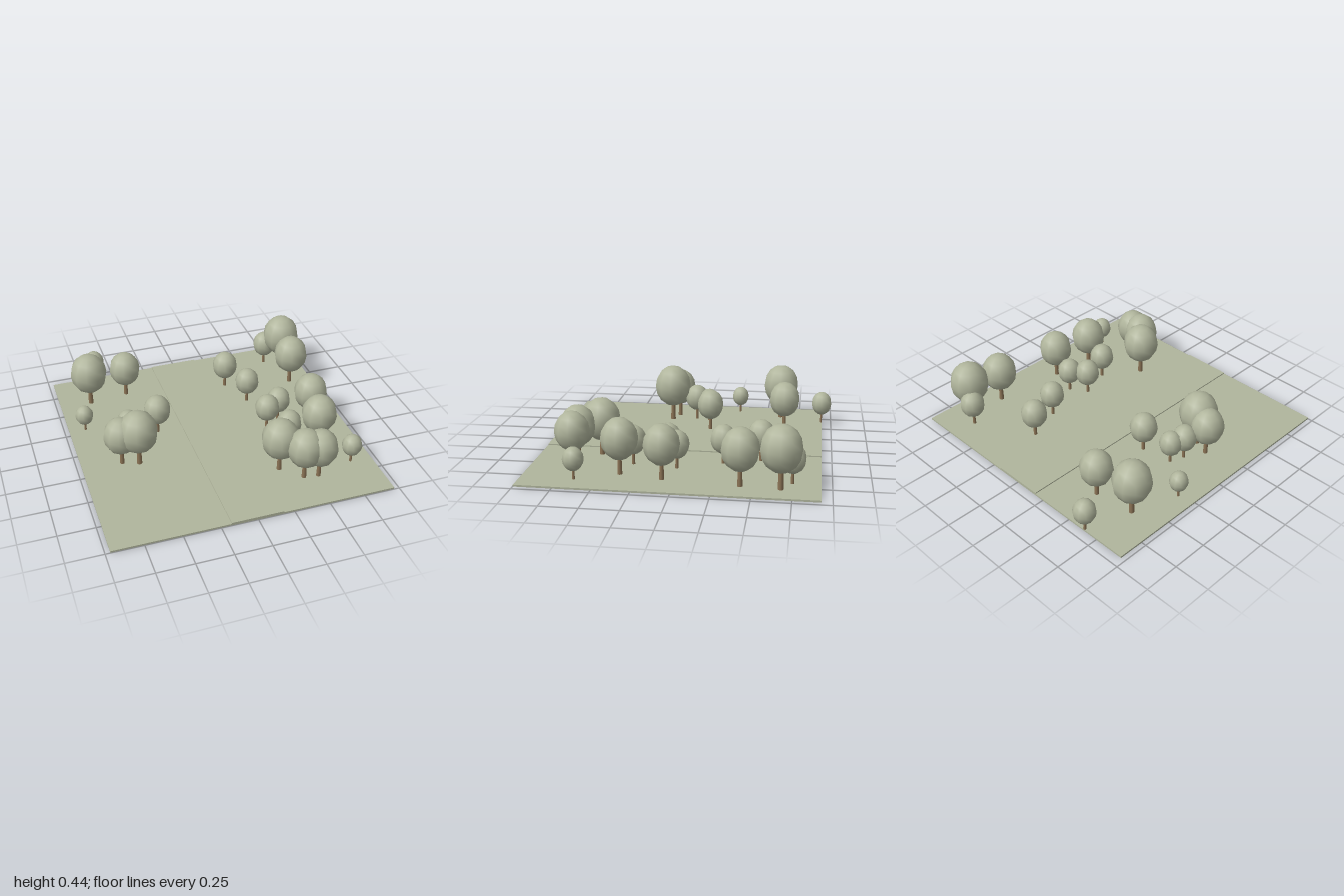
import * as THREE from 'three';

const GROUND_TOP = 0.012;

// x, z and crown radius of every tree
const TREES = [
  [-0.64, -0.923, 0.077], [-0.74, -0.607, 0.133], [-0.46, -0.645, 0.114],
  [-0.85, -0.285, 0.064], [-0.36, -0.1, 0.097], [-0.58, -0.066, 0.08],
  [-0.615, 0.033, 0.086], [-0.69, 0.175, 0.118], [-0.577, 0.215, 0.136],
  [0.7, -0.745, 0.086], [0.81, -0.675, 0.137], [0.79, -0.42, 0.125],
  [0.293, -0.52, 0.093], [0.383, -0.273, 0.088], [0.518, 0.02, 0.085],
  [0.402, 0.096, 0.088], [0.738, 0.085, 0.12], [0.478, 0.32, 0.088],
  [0.68, 0.37, 0.124], [0.31, 0.572, 0.13], [0.437, 0.705, 0.124],
  [0.537, 0.72, 0.119], [0.81, 0.645, 0.07],
];

function material(name, color) {
  const m = new THREE.MeshStandardMaterial({ color });
  m.name = name;
  return m;
}

export function createModel() {
  const group = new THREE.Group();
  group.name = 'parkland';
  const sage = material('sage', 0xb0b59c);
  const bark = material('bark', 0x8b7355);

  const add = (parent, name, geometry, mat, x, y, z) => {
    const mesh = new THREE.Mesh(geometry, mat);
    mesh.name = name;
    mesh.position.set(x, y, z);
    parent.add(mesh);
    return mesh;
  };

  // Square ground slab with a slightly raised road along z
  add(group, 'ground', new THREE.BoxGeometry(1.93, GROUND_TOP, 1.93), sage, -0.002, GROUND_TOP / 2, 0.033);
  add(group, 'road', new THREE.BoxGeometry(0.355, 0.008, 1.93), sage, -0.002, GROUND_TOP + 0.004, 0.033);

  // All trees share one unit design, scaled by crown radius
  const crownGeometry = new THREE.SphereGeometry(1, 10, 8);
  crownGeometry.scale(1, 1.15, 1);
  const trunkGeometry = new THREE.CylinderGeometry(0.1, 0.135, 1.3, 8);

  TREES.forEach(([x, z, r], i) => {
    const tree = new THREE.Group();
    tree.name = `tree${i + 1}`;
    tree.position.set(x, GROUND_TOP, z);
    tree.scale.setScalar(r);
    add(tree, 'trunk', trunkGeometry, bark, 0, 0.65, 0);
    add(tree, 'crown', crownGeometry, sage, 0, 1.96, 0);
    group.add(tree);
  });

  return group;
}
